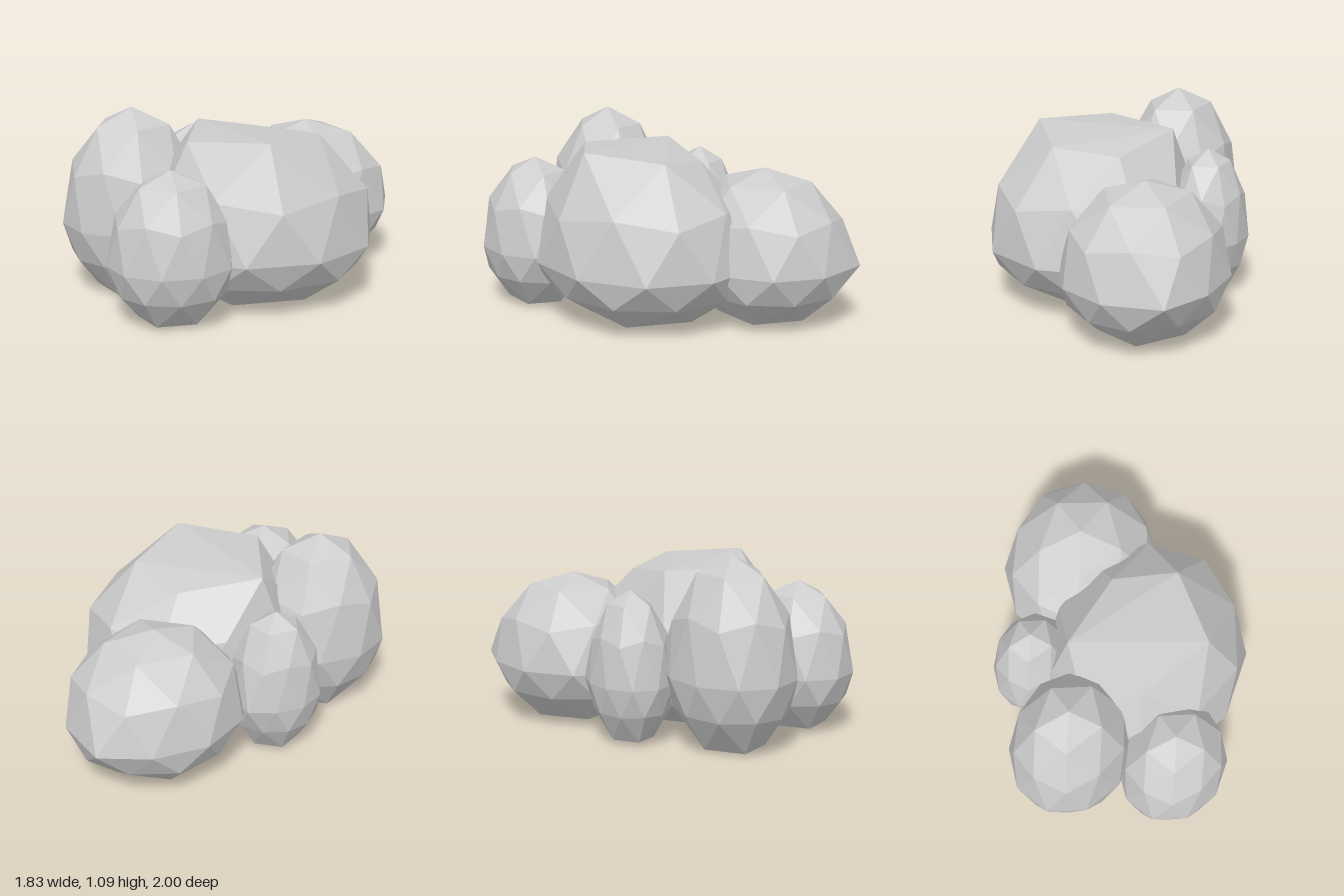
import * as THREE from 'three';
import { ConvexGeometry } from 'three/addons/geometries/ConvexGeometry.js';

// Rings of a faceted ball: height, radius, corner count, start angle in degrees
const RINGS = [
  [1, 0, 1, 0],
  [0.851, 0.526, 5, 0],
  [0.526, 0.851, 5, 36],
  [0.447, 0.894, 5, 0],
  [0, 1, 10, 18],
  [-0.41, 0.894, 5, 36],
  [-0.43, 0.851, 5, 0],
  [-0.851, 0.526, 5, 36],
  [-0.875, 0, 1, 0], // flattened base
];

// Broad, low crown of the main boulder, replacing its top two rings
const CROWN = [
  [0.2, 0.95, 0.15],
  [0.54, 0.95, 0.1],
  [0.3, 0.99, 0.5],
  [-0.175, 0.955, 0.39],
  [-0.19, 0.96, -0.12],
  [0.29, 0.9, -0.18],
];

function rockGeometry({ x, y, z, rx, rz, up, down, crown, bulge = 1 }) {
  const points = crown ? crown.map((p) => new THREE.Vector3(...p)) : [];
  RINGS.forEach(([h, r, n, start], ring) => {
    if (crown && ring < 2) return;
    const swell = ring === 2 || ring === 3 ? bulge : 1;
    for (let i = 0; i < n; i++) {
      const deg = start + (360 / n) * i;
      const a = THREE.MathUtils.degToRad(deg);
      const px = Math.cos(a) * r * swell;
      // slight skew, with one knobbly corner at the back
      let pz = Math.sin(a) * r * swell - 0.07 * px;
      if (h === 0 && Math.round(deg) === 306) pz -= 0.12;
      points.push(new THREE.Vector3(x + px * rx, y + h * (h > 0 ? up : down), z + pz * rz));
    }
  });
  return new ConvexGeometry(points);
}

export function createModel() {
  const group = new THREE.Group();
  group.name = 'rockCluster';
  const stone = new THREE.MeshStandardMaterial({ color: 0xcccccc, flatShading: true });
  stone.name = 'paleGreyStone';

  const rocks = {
    mainBoulder: { x: 0.2, y: 0.35, z: 0.14, rx: 0.675, rz: 0.615, up: 0.64, down: 0.39, crown: CROWN, bulge: 1.03 },
    backBoulder: { x: 0.42, y: 0.35, z: -0.52, rx: 0.518, rz: 0.48, up: 0.525, down: 0.385 },
    tallRock: { x: -0.53, y: 0.42, z: 0.17, rx: 0.41, rz: 0.36, up: 0.672, down: 0.48 },
    frontRock: { x: -0.22, y: 0.35, z: 0.68, rx: 0.36, rz: 0.318, up: 0.523, down: 0.385 },
    smallBackRock: { x: -0.26, y: 0.35, z: -0.34, rx: 0.272, rz: 0.24, up: 0.523, down: 0.385 },
  };
  for (const [name, spec] of Object.entries(rocks)) {
    const mesh = new THREE.Mesh(rockGeometry(spec), stone);
    mesh.name = name;
    group.add(mesh);
  }
  return group;
}
